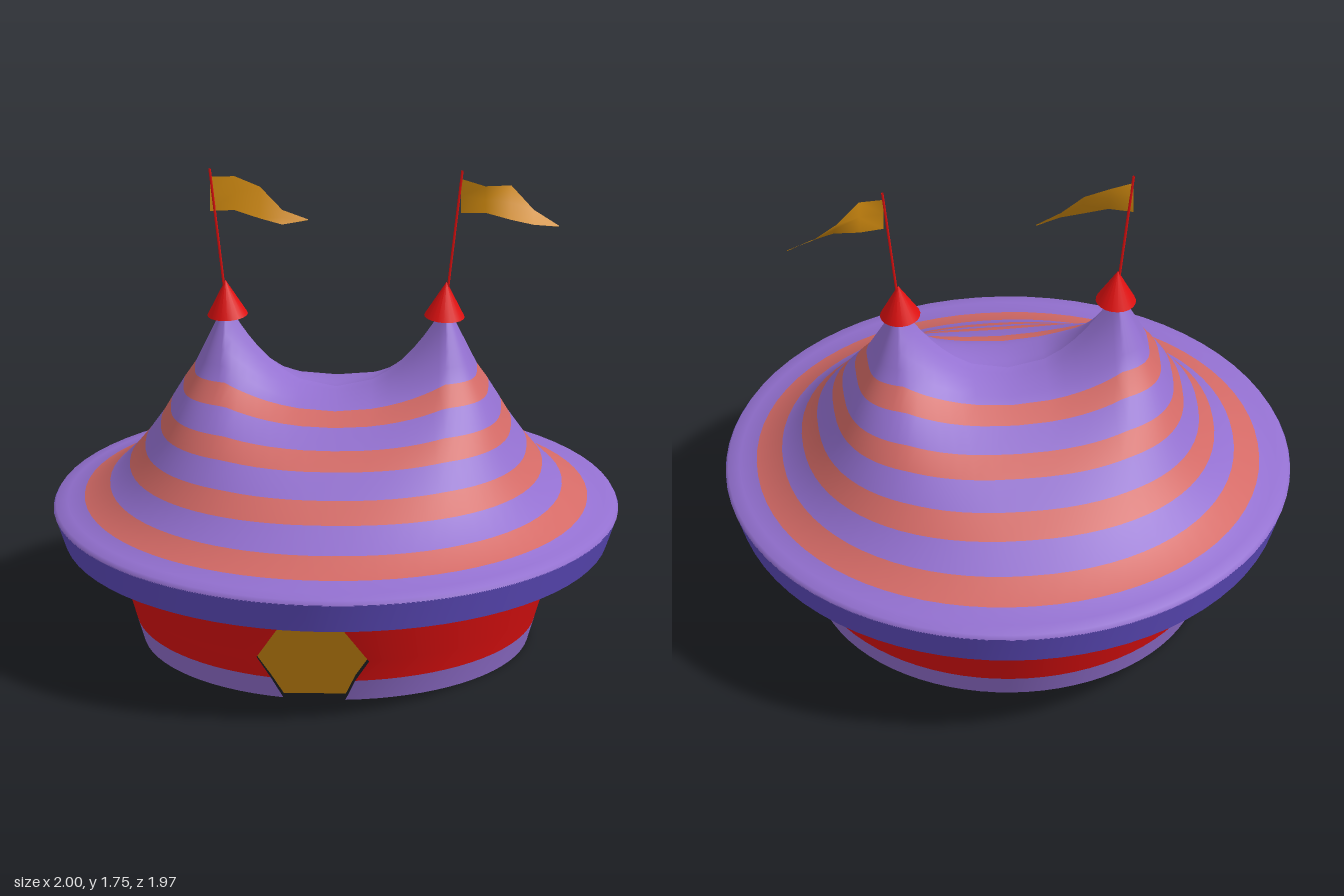
import * as THREE from 'three';

const mat = (name, color) => new THREE.MeshStandardMaterial({ name, color, side: THREE.DoubleSide });

// Smooth skin over rows of points (bottom to top); rowMats picks a material index per band
function skin(rows, closed, rowMats) {
  const n = rows[0].length, pos = rows.flat(2), index = [];
  const geo = new THREE.BufferGeometry();
  const cols = closed ? n : n - 1;
  for (let i = 0; i < rows.length - 1; i++) {
    if (rowMats) geo.addGroup(index.length, cols * 6, rowMats[i]);
    for (let j = 0; j < cols; j++) {
      const a = i * n + j, b = i * n + (j + 1) % n;
      index.push(a, b, b + n, a, b + n, a + n);
    }
  }
  geo.setAttribute('position', new THREE.Float32BufferAttribute(pos, 3));
  geo.setIndex(index);
  geo.computeVertexNormals();
  return geo;
}

// Horizontal superellipse ring; height blends from yMid (between the peaks) to yEnd
const SEG = 72, PEAK = 0.39;
function ring(a, b, n, yEnd, yMid = yEnd) {
  const pw = v => Math.sign(v) * Math.pow(Math.abs(v), 2 / n);
  return Array.from({ length: SEG }, (_, j) => {
    const t = j / SEG * Math.PI * 2;
    const x = a * pw(Math.sin(t)), z = b * pw(Math.cos(t));
    const f = Math.min(1, Math.abs(x) / PEAK) ** 2;
    return [x, yMid + (yEnd - yMid) * f, z];
  });
}

export function createModel() {
  const tent = new THREE.Group();
  tent.name = 'circusTent';
  const purple = mat('purple canvas', 0x9370d0);
  const peach = mat('peach stripe', 0xd46a66);
  const red = mat('red', 0xe01010);
  const gold = mat('gold', 0xd08a10);
  const violet = mat('deep violet trim', 0x5f4cc0);
  const add = (name, geo, material, parent = tent) => {
    const m = new THREE.Mesh(geo, material);
    m.name = name;
    parent.add(m);
    return m;
  };

  // Striped roof: x extent, z extent, squareness, height at ends, height in the middle
  const rows = [
    [1.0, 0.985, 2, 0.47], [0.992, 0.977, 2, 0.487], [0.95, 0.93, 2, 0.497],
    [0.89, 0.85, 2.05, 0.515], [0.80, 0.74, 2.1, 0.567], [0.73, 0.63, 2.2, 0.64],
    [0.675, 0.54, 2.35, 0.71, 0.70], [0.62, 0.44, 2.6, 0.79, 0.77], [0.585, 0.36, 2.8, 0.855, 0.82],
    [0.54, 0.26, 3.2, 0.935, 0.87], [0.50, 0.185, 3.6, 1.0, 0.905],
  ].map(r => ring(...r));
  const bandMats = [0, 0, 0, 1, 0, 1, 0, 1, 0, 1];
  // Saddle and twin peaks: draw the top ring in to the ridge line
  const top = rows[rows.length - 1];
  for (const t of [0.2, 0.4, 0.6, 0.8, 1]) {
    rows.push(top.map(([x, y, z]) => {
      const xr = Math.max(-PEAK, Math.min(PEAK, x)), k = Math.abs(xr) / PEAK;
      const ridge = 0.93 + 0.32 * k ** 2.2;
      const round = 1 - (1 - t) ** 2, g = round + (t - round) * k;
      return [x + (xr - x) * t, y + (ridge - y) * g, z * (1 - t)];
    }));
    bandMats.push(0);
  }
  add('roof', skin(rows, true, bandMats), [purple, peach]);

  // Eave: sloping valance and flat underside
  add('eaveValance', skin([ring(0.962, 0.965, 2, 0.365), ring(1.0, 0.985, 2, 0.472)], true), violet);
  add('eaveUnderside', skin([ring(0.79, 0.79, 2, 0.36), ring(0.962, 0.965, 2, 0.365)], true), violet);

  // Flared wall, left open around the doorway
  const radius = y => 0.68 + 0.305 * y;
  const door = [[0, -0.17, 0.05], [0.08, -0.215, 0.085], [0.16, -0.265, 0.135], [0.36, -0.15, 0.0]];
  const wallRow = ([y, xl, xr]) => {
    const r = radius(y), a0 = Math.asin(xr / r), a1 = Math.PI * 2 + Math.asin(xl / r);
    return Array.from({ length: SEG + 1 }, (_, j) => {
      const a = a0 + (a1 - a0) * j / SEG;
      return [r * Math.sin(a), y, r * Math.cos(a)];
    });
  };
  add('wallBase', skin(door.slice(0, 2).map(wallRow), false), purple);
  add('wall', skin(door.slice(1).map(wallRow), false), red);
  add('wallTop', skin([ring(0.79, 0.79, 2, 0.36), ring(0.82, 0.82, 2, 0.46)], true), red);

  // Door curtain set just inside the opening
  const curtain = door.map(([y, xl, xr]) => [xl, xr].map(x => [x, y, 0.615 + 0.3 * y]));
  add('doorCurtain', skin(curtain, false), gold);

  // Cap, pole and flag on each peak; stations are x, top y, bottom y, top z, bottom z
  const flags = {
    left: [[0.443, 1.72, 1.59, 0, 0], [0.53, 1.70, 1.588, 0.02, -0.01], [0.62, 1.672, 1.572, -0.065, 0.015],
      [0.70, 1.59, 1.552, -0.04, 0.01], [0.79, 1.538, 1.534, -0.02, -0.02]],
    right: [[-0.447, 1.72, 1.59, 0, 0], [-0.36, 1.715, 1.60, -0.02, 0.015], [-0.27, 1.68, 1.575, -0.01, 0.03],
      [-0.19, 1.60, 1.556, 0.01, 0.04], [-0.10, 1.562, 1.558, 0, 0]],
  };
  for (const [name, s] of [['left', 1], ['right', -1]]) {
    const mast = new THREE.Group();
    mast.name = name + 'Mast';
    tent.add(mast);

    const cap = add(name + 'Cap', new THREE.ConeGeometry(0.072, 0.13, 20), red, mast);
    cap.position.set(s * 0.388, 1.265, 0);
    cap.rotation.z = -s * 0.06;

    const from = new THREE.Vector3(s * 0.395, 1.29, 0), to = new THREE.Vector3(s * 0.448, 1.75, 0);
    add(name + 'Pole', new THREE.TubeGeometry(new THREE.LineCurve3(from, to), 1, 0.005, 6), red, mast);

    const st = flags[name];
    const flagRows = [st.map(p => [p[0], p[2], p[4]]),
      st.map(p => [p[0], (p[1] + p[2]) / 2, (p[3] + p[4]) / 2]),
      st.map(p => [p[0], p[1], p[3]])];
    add(name + 'Flag', skin(flagRows, false), gold, mast);
  }
  return tent;
}
